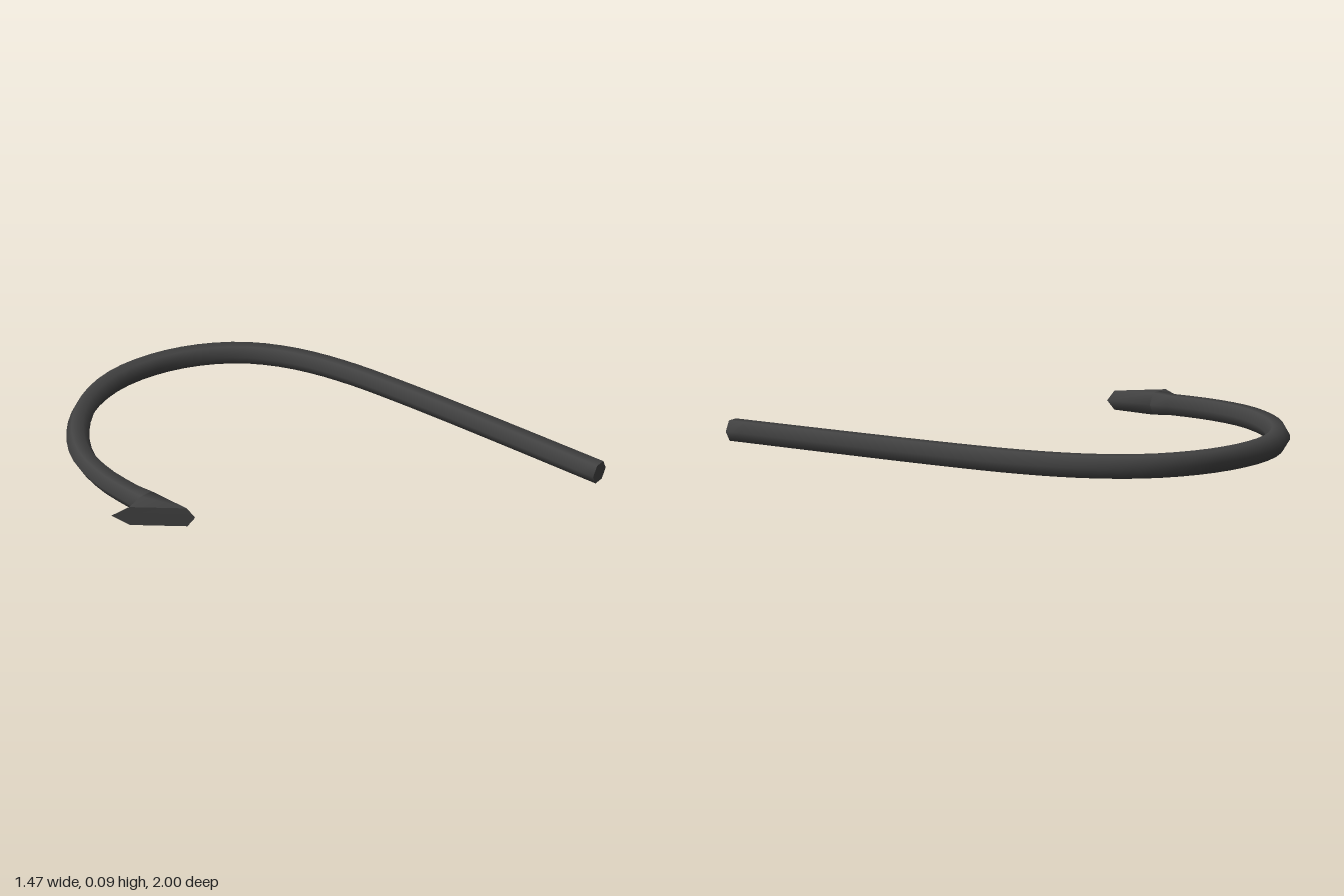
import * as THREE from 'three';

const SIDES = 6, MID = 0.05;

// Hexagonal ring around a centre; t is the horizontal path direction
function hexRing(c, t, r) {
  const side = new THREE.Vector3(t.z, 0, -t.x).normalize();
  return Array.from({ length: SIDES }, (_, j) => {
    const a = j * Math.PI * 2 / SIDES;
    const p = c.clone().addScaledVector(side, Math.cos(a) * r);
    p.y += Math.sin(a) * r;
    return p;
  });
}

// Smooth skin through successive rings, with optional flat caps
function loft(rings, capStart, capEnd) {
  const pts = rings.flat(), index = [];
  for (let i = 0; i < rings.length - 1; i++) {
    for (let j = 0; j < SIDES; j++) {
      const a = i * SIDES + j, b = i * SIDES + (j + 1) % SIDES;
      index.push(a, b, a + SIDES, b, b + SIDES, a + SIDES);
    }
  }
  const cap = (ring, flip) => {
    const s = pts.length;
    pts.push(...ring);
    for (let k = 1; k < SIDES - 1; k++) {
      index.push(s, s + (flip ? k + 1 : k), s + (flip ? k : k + 1));
    }
  };
  if (capStart) cap(rings[0], true);
  if (capEnd) cap(rings[rings.length - 1], false);
  const g = new THREE.BufferGeometry().setFromPoints(pts);
  g.setIndex(index);
  g.computeVertexNormals();
  return g;
}

export function createModel() {
  const group = new THREE.Group();
  group.name = 'hook';
  const metal = new THREE.MeshStandardMaterial({ color: 0x424242 });
  metal.name = 'dark metal';
  const add = (name, geometry) => {
    const mesh = new THREE.Mesh(geometry, metal);
    mesh.name = name;
    group.add(mesh);
  };

  // Centre line from the barb, round the bend, down the shank (x, z)
  const path = new THREE.CatmullRomCurve3([
    [-0.598, -0.22], [-0.565, -0.47], [-0.49, -0.655], [-0.35, -0.81], [-0.17, -0.917],
    [0.02, -0.955], [0.21, -0.925], [0.385, -0.84], [0.53, -0.705], [0.615, -0.55],
    [0.66, -0.39], [0.683, -0.2], [0.688, 0], [0.687, 0.2], [0.68, 0.5], [0.664, 1],
  ].map(([x, z]) => new THREE.Vector3(x, MID, z)));

  // Bent rod, slightly swollen where it meets the barb
  const N = 48, rod = [];
  for (let i = 0; i <= N; i++) {
    const t = i === N ? new THREE.Vector3(0, 0, 1) : path.getTangentAt(i / N);
    rod.push(hexRing(path.getPointAt(i / N), t, i === 0 ? 0.053 : 0.046));
  }
  add('rod', loft(rod, false, true));

  // Barb: the end ring is sheared into a long slanted face
  const tip = [
    [-0.74, 0, -0.27], [-0.70, 0.04, -0.215], [-0.572, 0.04, -0.04],
    [-0.555, 0, -0.015], [-0.572, -0.04, -0.04], [-0.70, -0.04, -0.215],
  ].map(([x, y, z]) => new THREE.Vector3(x, MID + y, z));
  add('barb', loft([tip, rod[0]], true, false));

  return group;
}
